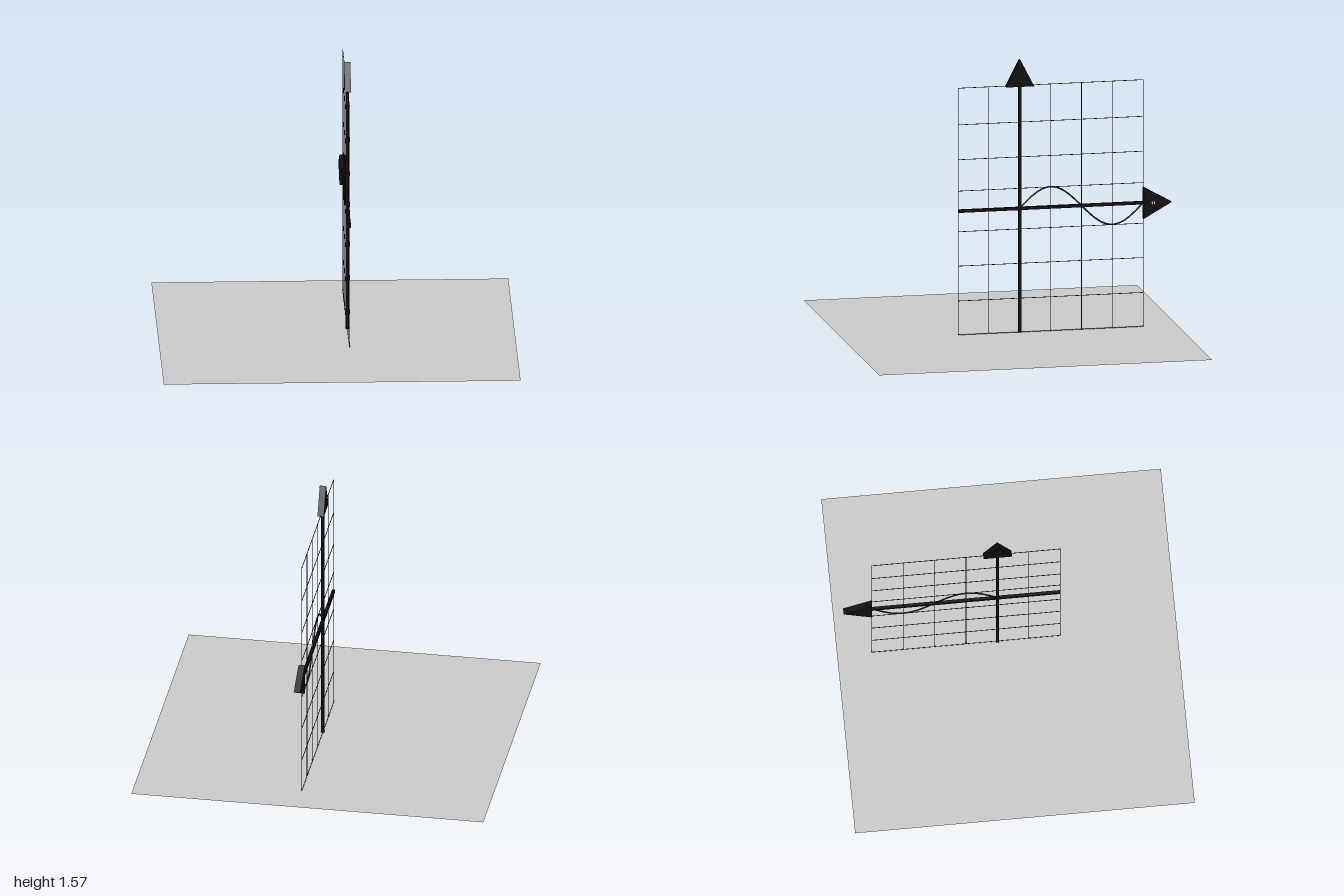
import * as THREE from 'three';

const PLANE_X = 0.065; // x of the upright graph
const ORIGIN_Z = -0.053, ORIGIN_Y = 0.71;
const NEAR = 0.3, FAR = -0.76, TOP = 1.415;

const flat = (name, color, side = THREE.FrontSide) => {
  const m = new THREE.MeshStandardMaterial({ color, side });
  m.name = name;
  return m;
};

export function createModel() {
  const black = flat('axis black', 0x0d0d0d);
  const gridDark = flat('grid dark red', 0x260a0c);
  const teal = flat('curve dark teal', 0x14282c);
  const grey = flat('floor grey', 0xc8c8c8, THREE.DoubleSide);
  const white = flat('mark white', 0xf2f2f2);

  const model = new THREE.Group();
  model.name = 'waveGraph';

  const add = (parent, name, geometry, material, x, y, z) => {
    const mesh = new THREE.Mesh(geometry, material);
    mesh.name = name;
    mesh.position.set(x, y, z);
    parent.add(mesh);
    return mesh;
  };
  // Square bars in the graph plane
  const upright = (parent, name, t, z, mat) =>
    add(parent, name, new THREE.BoxGeometry(t, TOP, t), mat, PLANE_X, TOP / 2, z);
  const level = (parent, name, t, y, mat) =>
    add(parent, name, new THREE.BoxGeometry(t, t, NEAR - FAR), mat, PLANE_X, y, (NEAR + FAR) / 2);

  // Floor sheet
  const floor = new THREE.PlaneGeometry(2, 1.91).rotateX(-Math.PI / 2);
  add(model, 'floor', floor, grey, 0, 0, 0);

  // Thin grid lines
  const grid = new THREE.Group();
  grid.name = 'grid';
  model.add(grid);
  for (let i = 0; i <= 6; i++) {
    if (i !== 2) upright(grid, 'gridUpright', 0.003, NEAR + (FAR - NEAR) * i / 6, gridDark);
  }
  for (const y of [0.001, 0.195, 0.395, 0.592, 0.825, 1.005, 1.205, TOP]) {
    level(grid, 'gridLevel', 0.003, y, gridDark);
  }

  // Axes
  upright(model, 'verticalAxis', 0.017, ORIGIN_Z, black);
  level(model, 'horizontalAxis', 0.017, ORIGIN_Y, black);

  // Flat triangular arrowheads
  const arrowhead = (halfWidth, length) => {
    const s = new THREE.Shape();
    s.moveTo(-halfWidth, 0);
    s.lineTo(halfWidth, 0);
    s.lineTo(0, length);
    s.closePath();
    return new THREE.ExtrudeGeometry(s, { depth: 0.036, bevelEnabled: false })
      .translate(0, 0, -0.018).rotateY(Math.PI / 2);
  };
  add(model, 'verticalArrowhead', arrowhead(0.08, 0.155), black, PLANE_X, 1.41, ORIGIN_Z);
  add(model, 'horizontalArrowhead', arrowhead(0.09, 0.16).rotateX(-Math.PI / 2), black,
    PLANE_X, ORIGIN_Y, FAR);

  // Small pale mark on the horizontal arrowhead
  for (const dz of [-0.006, 0.006]) {
    add(model, 'arrowMark', new THREE.BoxGeometry(0.002, 0.015, 0.007), white,
      PLANE_X + 0.0185, ORIGIN_Y, -0.815 + dz);
  }

  // One full wave along the horizontal axis
  const points = [];
  for (let i = 0; i <= 32; i++) {
    const t = i / 32;
    points.push(new THREE.Vector3(PLANE_X,
      ORIGIN_Y + 0.116 * Math.sin(t * Math.PI * 2),
      ORIGIN_Z + (FAR - ORIGIN_Z) * t));
  }
  const wave = new THREE.TubeGeometry(new THREE.CatmullRomCurve3(points), 80, 0.0045, 8);
  add(model, 'wave', wave, teal, 0, 0, 0);

  return model;
}
